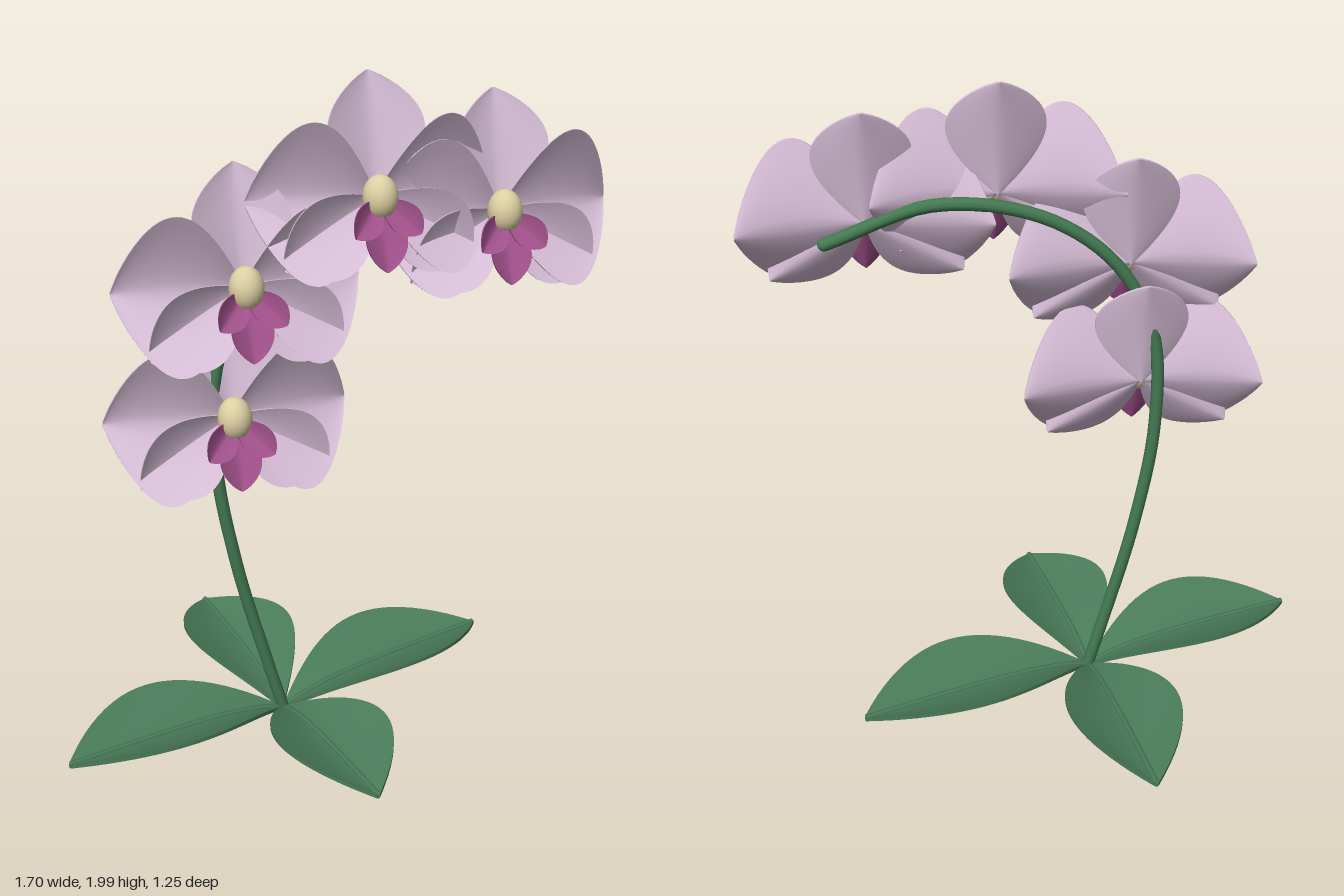
import * as THREE from 'three';

const material = (name, color) => {
  const m = new THREE.MeshStandardMaterial({ color });
  m.name = name;
  return m;
};

// Cupped blade growing along +y: width follows a sine rule, edges rise toward +z
function blade({ length, half, cup, mid, thick = 0.008, skew = 1.15, round = 0.75 }) {
  const geo = new THREE.BoxGeometry(2, 1, 1, 16, 24, 1);
  const pos = geo.attributes.position;
  for (let i = 0; i < pos.count; i++) {
    const s = pos.getX(i);
    const t = pos.getY(i) + 0.5;
    const side = pos.getZ(i);
    const w = Math.max(0.03, Math.pow(Math.max(0, Math.sin(Math.PI * Math.pow(t, skew))), round));
    const lift = cup * w * Math.pow(Math.abs(s), 1.4);
    pos.setXYZ(i, s * w * half, t * length, mid(t) + lift + side * thick);
  }
  geo.computeVertexNormals();
  return geo;
}

export function createModel() {
  const model = new THREE.Group();
  model.name = 'orchid';
  const leafGreen = material('leaf green', 0x4a7c59);
  const stemGreen = material('stem green', 0x437a52);
  const petalPink = material('petal pink', 0xd8bfd8);
  const lipMagenta = material('lip magenta', 0xa0508a);
  const columnCream = material('column cream', 0xdccfa2);

  const add = (parent, name, geo, mat) => {
    const mesh = new THREE.Mesh(geo, mat);
    mesh.name = name;
    parent.add(mesh);
    return mesh;
  };

  // Ground leaves, each with a raised midrib
  const base = [-0.15, 0.03];
  const leafMid = t => 0.012 + 0.05 * (1 - Math.pow(1 - t, 5));
  const leafTips = [[-0.24, -0.625], [0.585, -0.2], [-0.85, 0.21], [-0.04, 0.62]];
  for (const [x, z] of leafTips) {
    const dx = x - base[0], dz = z - base[1];
    const length = Math.hypot(dx, dz);
    const leaf = new THREE.Group();
    leaf.name = 'leaf';
    const blade1 = blade({ length, half: 0.174, cup: 0.068, mid: leafMid, thick: 0.012, skew: 1.12, round: 0.85 });
    add(leaf, 'leafBlade', blade1.rotateX(-Math.PI / 2), leafGreen);
    const ribPoints = [0, 0.1, 0.25, 0.5, 0.75, 1].map(
      t => new THREE.Vector3(0, leafMid(t) + 0.006, -t * length));
    add(leaf, 'leafMidrib', new THREE.TubeGeometry(new THREE.CatmullRomCurve3(ribPoints), 20, 0.01, 6), leafGreen);
    leaf.position.set(base[0], 0, base[1]);
    leaf.rotation.y = Math.atan2(-dx, -dz);
    model.add(leaf);
  }

  // Arching flower stem with a capped end
  const stemPath = new THREE.CatmullRomCurve3([
    [-0.15, 0.02, 0.03], [-0.2, 0.2, 0.03], [-0.29, 0.55, 0.032], [-0.345, 0.9, 0.033],
    [-0.33, 1.21, 0.034], [-0.21, 1.44, 0.035], [0, 1.59, 0.036], [0.3, 1.64, 0.04], [0.61, 1.54, 0.045],
  ].map(p => new THREE.Vector3(...p)));
  add(model, 'stem', new THREE.TubeGeometry(stemPath, 60, 0.019, 10), stemGreen);
  add(model, 'stemEnd', new THREE.SphereGeometry(0.019, 10, 8), stemGreen).position.set(0.61, 1.54, 0.045);

  // Flower parts, shared by every bloom
  const parts = {
    topSepal: blade({ length: 0.345, half: 0.14, cup: 0.05, mid: t => -0.02 * t * t }),
    sidePetal: blade({ length: 0.36, half: 0.222, cup: 0.105, mid: t => 0.01 - 0.06 * t * t }),
    lowerSepal: blade({ length: 0.33, half: 0.115, cup: 0.06, mid: t => 0.012 + 0.015 * t }),
    lip: blade({ length: 0.2, half: 0.06, cup: 0.03, mid: t => 0.04 + 0.06 * t }),
    lipLobe: blade({ length: 0.135, half: 0.045, cup: 0.025, mid: t => 0.05 + 0.07 * t }),
    column: new THREE.SphereGeometry(1, 20, 14).scale(0.05, 0.063, 0.05),
  };

  function makeFlower(x, y, z) {
    const flower = new THREE.Group();
    flower.name = 'flower';
    add(flower, 'topSepal', parts.topSepal, petalPink);
    add(flower, 'lip', parts.lip, lipMagenta).rotation.z = Math.PI;
    for (const side of [-1, 1]) {
      add(flower, 'sidePetal', parts.sidePetal, petalPink).rotation.z = side * 1.56;
      add(flower, 'lowerSepal', parts.lowerSepal, petalPink).rotation.z = side * 2.15;
      add(flower, 'lipLobe', parts.lipLobe, lipMagenta).rotation.z = side * 2.36;
    }
    add(flower, 'column', parts.column, columnCream).position.set(0, 0.005, 0.058);
    flower.position.set(x, y, z);
    flower.rotation.x = -0.13;
    model.add(flower);
  }

  // Blooms from the lowest to the tip of the stem
  makeFlower(-0.302, 1.04, 0.045);
  makeFlower(-0.262, 1.425, 0.05);
  makeFlower(0.12, 1.655, 0.063);
  makeFlower(0.492, 1.585, 0.07);

  return model;
}
